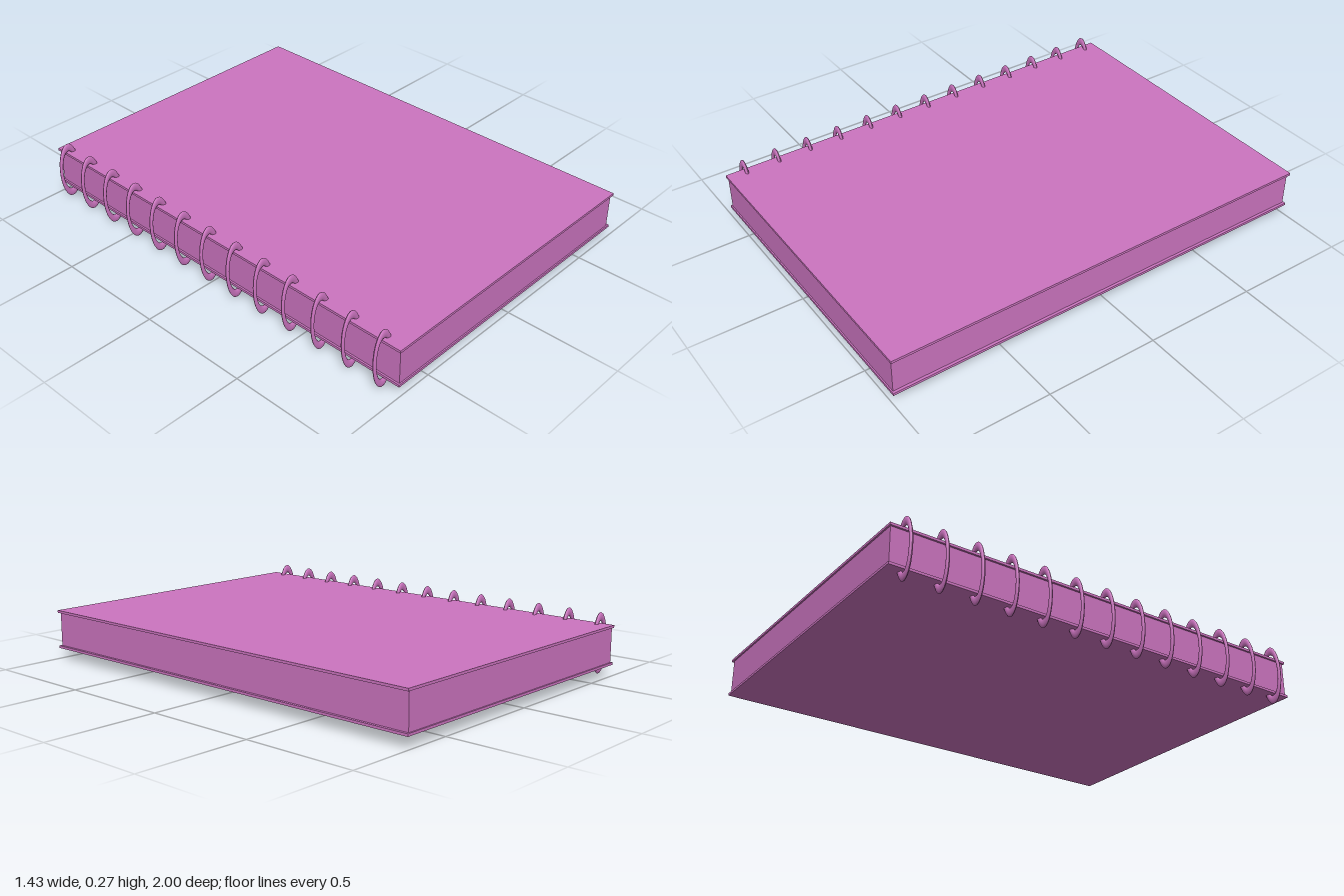
import * as THREE from 'three';

export function createModel() {
  const notebook = new THREE.Group();
  notebook.name = 'ringNotebook';

  const pink = new THREE.MeshStandardMaterial({ color: 0xcc74c0 });
  pink.name = 'orchid pink';

  const addBox = (name, [w, h, d], [x, y, z]) => {
    const mesh = new THREE.Mesh(new THREE.BoxGeometry(w, h, d), pink);
    mesh.name = name;
    mesh.position.set(x, y, z);
    notebook.add(mesh);
  };

  // Two thin covers overhanging the page block
  const coverSize = [1.384, 0.011, 2];
  addBox('backCover', coverSize, [0.024, 0.0555, 0]);
  addBox('frontCover', coverSize, [0.024, 0.2165, 0]);
  addBox('pageBlock', [1.364, 0.15, 1.988], [0.022, 0.136, 0]);

  // Row of oval binding rings, stretched upright around the spine
  const ringGeometry = new THREE.TorusGeometry(0.045, 0.0075, 12, 40);
  ringGeometry.scale(1, 2.55, 1);
  ringGeometry.computeVertexNormals();
  const rings = new THREE.Group();
  rings.name = 'bindingRings';
  const ringCount = 13;
  for (let i = 0; i < ringCount; i++) {
    const ring = new THREE.Mesh(ringGeometry, pink);
    ring.name = `bindingRing${i + 1}`;
    ring.position.set(-0.664, 0.1355, -0.935 + i * 0.1542);
    rings.add(ring);
  }
  notebook.add(rings);

  return notebook;
}
